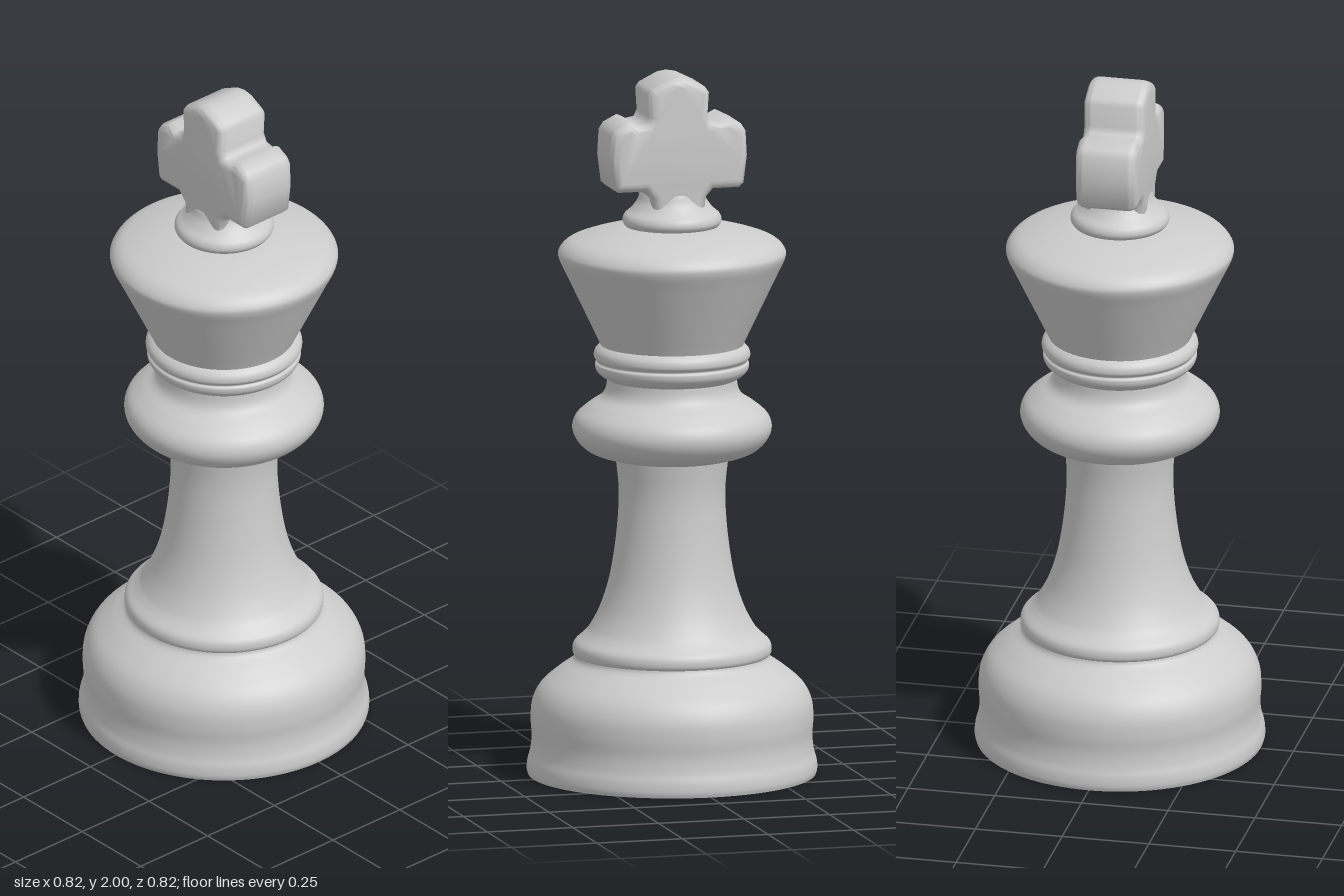
import * as THREE from 'three';
import { toCreasedNormals, mergeVertices } from 'three/addons/utils/BufferGeometryUtils.js';

export function createModel() {
  const group = new THREE.Group();
  group.name = 'chessKing';
  const grey = new THREE.MeshStandardMaterial({ color: 0xcccccc });
  grey.name = 'paleGrey';

  const add = (name, geometry) => {
    const mesh = new THREE.Mesh(geometry, grey);
    mesh.name = name;
    group.add(mesh);
    return mesh;
  };

  // Turned part: a smooth curve through [radius, height] points, spun round y
  const turned = (name, profile) => {
    const curve = new THREE.SplineCurve(profile.map(([r, y]) => new THREE.Vector2(r, y)));
    return add(name, new THREE.LatheGeometry(curve.getPoints(profile.length * 5), 96));
  };

  // Flat underside
  const underside = add('underside', new THREE.CircleGeometry(0.405, 96));
  underside.rotation.x = Math.PI / 2;

  // Base with a rounded foot, slight waist and domed shoulder
  turned('base', [
    [0.405, 0], [0.409, 0.015], [0.407, 0.04], [0.399, 0.07], [0.395, 0.11], [0.398, 0.16],
    [0.393, 0.21], [0.37, 0.255], [0.325, 0.295], [0.283, 0.325], [0.274, 0.34],
  ]);

  // Ring on the base, running into the flared stem
  turned('stem', [
    [0.27, 0.335], [0.28, 0.35], [0.276, 0.375], [0.25, 0.4], [0.23, 0.425], [0.202, 0.48],
    [0.177, 0.56], [0.16, 0.66], [0.151, 0.76], [0.151, 0.83], [0.16, 0.91],
  ]);

  // Wide collar
  turned('collar', [
    [0.14, 0.9], [0.185, 0.908], [0.235, 0.925], [0.268, 0.955], [0.281, 0.99], [0.27, 1.025],
    [0.235, 1.056], [0.2, 1.08], [0.186, 1.105], [0.182, 1.14],
  ]);

  // Thin ring below the crown
  turned('neckRing', [
    [0.175, 1.125], [0.2, 1.14], [0.214, 1.155], [0.217, 1.172], [0.211, 1.18],
    [0.22, 1.193], [0.217, 1.212], [0.2, 1.228], [0.18, 1.232],
  ]);

  // Flaring crown with a domed top
  turned('crown', [
    [0.196, 1.215], [0.212, 1.25], [0.255, 1.34], [0.298, 1.43], [0.319, 1.475], [0.318, 1.498],
    [0.295, 1.522], [0.25, 1.54], [0.19, 1.556], [0.12, 1.567], [0.001, 1.57],
  ]);

  // Small round seat under the cross
  turned('finialSeat', [
    [0.125, 1.56], [0.139, 1.578], [0.135, 1.598], [0.115, 1.617], [0.098, 1.64], [0.088, 1.665],
    [0.07, 1.69], [0.001, 1.7],
  ]);

  // Cross: mirrored outline with softened corners
  const half = [
    [0.075, 1.6], [0.079, 1.655], [0.1, 1.678], [0.176, 1.678], [0.19, 1.69], [0.2, 1.77],
    [0.196, 1.84], [0.183, 1.86], [0.143, 1.88], [0.118, 1.867], [0.094, 1.872], [0.085, 1.89],
    [0.089, 1.955], [0.078, 1.97], [0.025, 1.996],
  ];
  const outline = [...half, [0, 2], ...half.map(([x, y]) => [-x, y]).reverse()];
  const bevel = 0.025, depth = 0.176;
  const cross = new THREE.ExtrudeGeometry(
    new THREE.Shape(outline.map(([x, y]) => new THREE.Vector2(x, y))),
    {
      depth: depth - 2 * bevel, bevelEnabled: true, bevelThickness: bevel,
      bevelSize: bevel, bevelOffset: -bevel, bevelSegments: 5, curveSegments: 4,
    },
  );
  cross.translate(0, 0, bevel - depth / 2);
  cross.deleteAttribute('uv');
  cross.deleteAttribute('normal');
  add('cross', toCreasedNormals(mergeVertices(cross, 1e-4), 1.0));

  return group;
}
